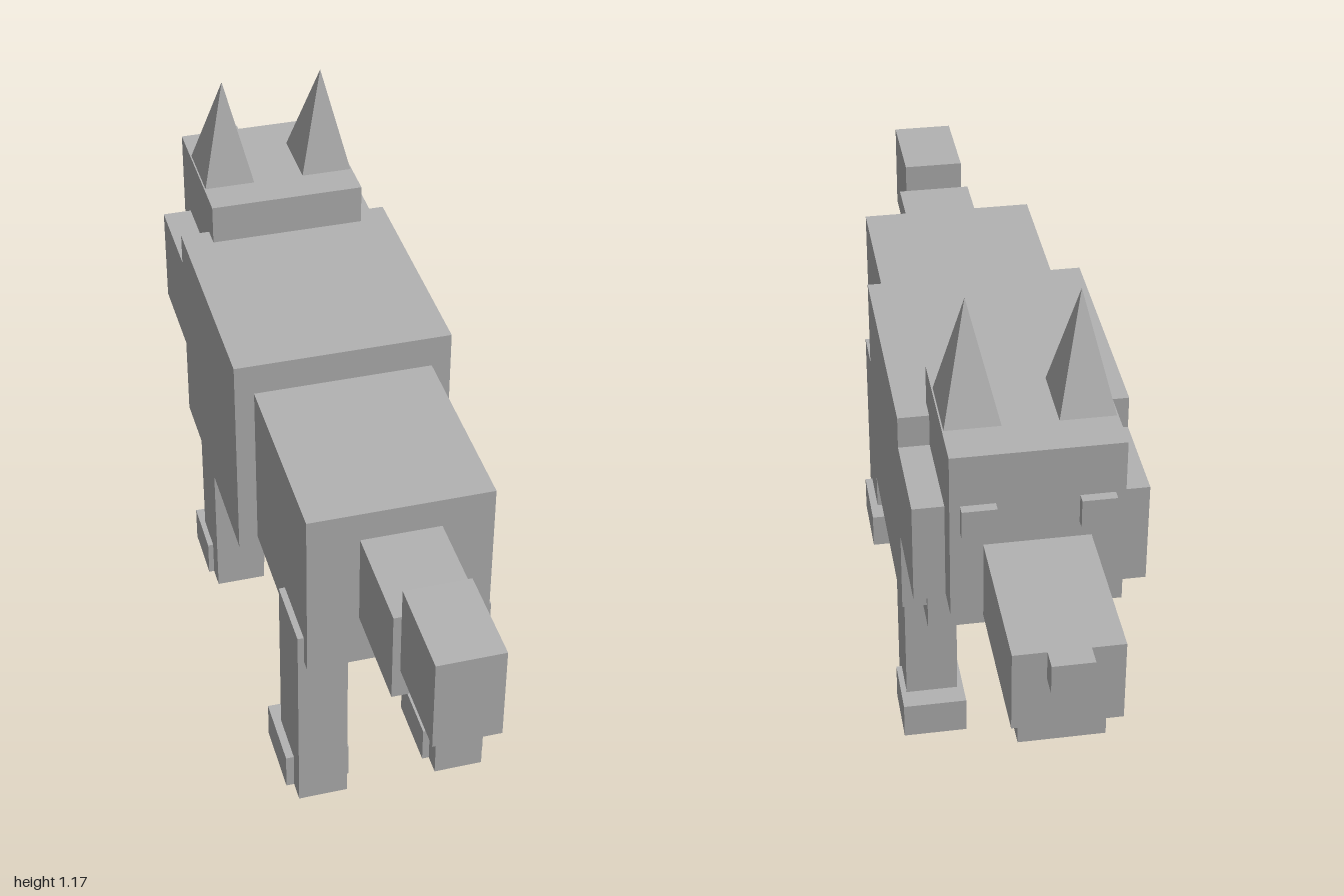
import * as THREE from 'three';

export function createModel() {
  const group = new THREE.Group();
  const fur = new THREE.MeshStandardMaterial({ color: 0xb3b3b3 });
  fur.name = 'greyFur';

  const add = (name, geometry) => {
    const mesh = new THREE.Mesh(geometry, fur);
    mesh.name = name;
    group.add(mesh);
  };

  // Box given by its lower and upper limits on each axis
  const box = (name, [x0, x1], [y0, y1], [z0, z1]) => {
    const g = new THREE.BoxGeometry(x1 - x0, y1 - y0, z1 - z0);
    g.translate((x0 + x1) / 2, (y0 + y1) / 2, (z0 + z1) / 2);
    add(name, g);
  };
  const centred = (name, halfWidth, y, z) => box(name, [-halfWidth, halfWidth], y, z);
  const pair = (name, [x0, x1], y, z) => {
    box(name + 'Left', [x0, x1], y, z);
    box(name + 'Right', [-x1, -x0], y, z);
  };

  // Body
  centred('hindBody', 0.19, [0.4, 0.785], [0.14, 0.57]);
  centred('shoulders', 0.231, [0.38, 0.855], [-0.365, 0.147]);
  centred('breast', 0.18, [0.33, 0.565], [-0.38, -0.02]);

  // Tail
  centred('tailBase', 0.083, [0.517, 0.72], [0.565, 0.797]);
  centred('tailTip', 0.067, [0.583, 0.785], [0.797, 1]);

  // Head
  centred('head', 0.168, [0.575, 0.943], [-0.637, -0.32]);
  centred('snout', 0.104, [0.565, 0.737], [-0.96, -0.63]);
  centred('lowerJaw', 0.083, [0.482, 0.56], [-0.91, -0.617]);
  centred('nose', 0.04, [0.675, 0.737], [-1, -0.955]);
  pair('cheek', [0.16, 0.231], [0.565, 0.785], [-0.57, -0.36]);
  pair('eye', [0.08, 0.148], [0.77, 0.832], [-0.657, -0.63]);

  // Legs and paws
  pair('frontLeg', [0.108, 0.219], [0, 0.385], [-0.295, -0.16]);
  pair('frontPaw', [0.095, 0.231], [0, 0.083], [-0.342, -0.208]);
  pair('hindLeg', [0.098, 0.203], [0, 0.465], [0.39, 0.545]);
  pair('hindPaw', [0.083, 0.22], [0, 0.083], [0.342, 0.502]);

  // Ears: four-sided pyramids with the tip leaning back
  for (const side of [1, -1]) {
    const g = new THREE.ConeGeometry(Math.SQRT1_2, 1, 4, 1).rotateY(Math.PI / 4).toNonIndexed();
    g.scale(0.11, 0.229, 0.147);
    const p = g.attributes.position;
    for (let i = 0; i < p.count; i++) {
      if (p.getY(i) > 0) p.setZ(i, 0.02);
    }
    g.translate(side * 0.11, 1.0575, -0.474);
    g.computeVertexNormals();
    add(side > 0 ? 'earLeft' : 'earRight', g);
  }

  return group;
}
